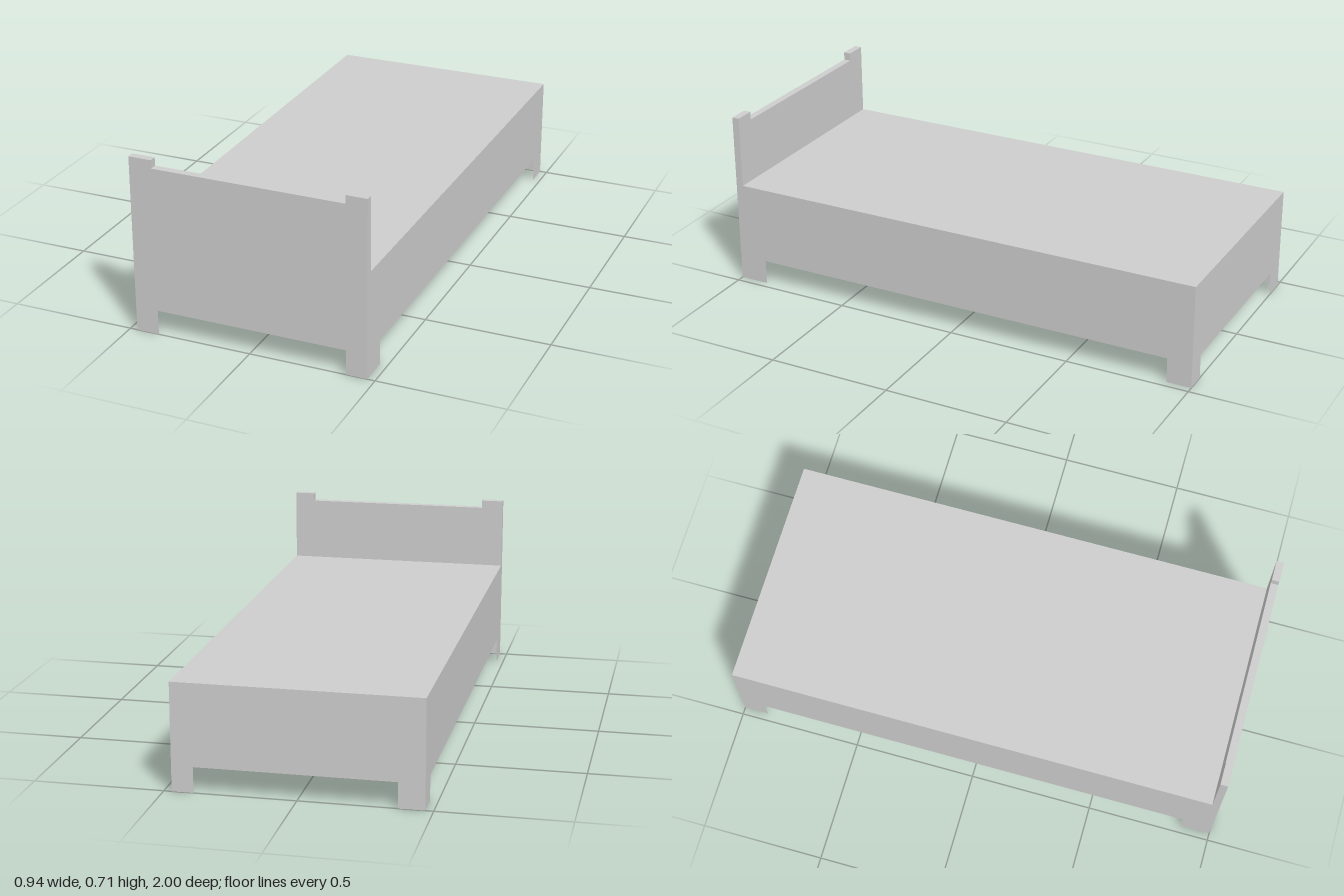
import * as THREE from 'three';

const W = 0.47, L = 1, BASE = 0.255, TOP = 0.42, RAIL = 0.1, BOARD = 0.03;

// Closed outline from x,y pairs
const outline = (pts) => new THREE.Shape(pts.map(([x, y]) => new THREE.Vector2(x, y)));

// Thin panel with a leg at each end and an opening between a and b
const panel = (half, a, b) => new THREE.ShapeGeometry(outline([
  [-half, 0], [a, 0], [a, RAIL], [b, RAIL], [b, 0], [half, 0], [half, BASE], [-half, BASE],
]));

export function createModel() {
  const grey = new THREE.MeshStandardMaterial({ color: 0xcccccc, side: THREE.DoubleSide });
  grey.name = 'light grey';
  const black = new THREE.MeshStandardMaterial({ color: 0x050505, side: THREE.DoubleSide });
  black.name = 'black';

  const bed = new THREE.Group();
  bed.name = 'bed';
  const add = (name, geometry, material, x = 0, y = 0, z = 0) => {
    const mesh = new THREE.Mesh(geometry, material);
    mesh.name = name;
    mesh.position.set(x, y, z);
    bed.add(mesh);
    return mesh;
  };

  // Mattress, resting on the frame behind the headboard
  const length = 2 * L - BOARD;
  add('mattress', new THREE.BoxGeometry(2 * W, TOP - BASE, length), grey, 0, (TOP + BASE) / 2, -BOARD / 2);

  // Dark base under the mattress
  add('bedBase', new THREE.PlaneGeometry(2 * W, length).rotateX(Math.PI / 2), black, 0, BASE - 0.002, -BOARD / 2);

  // Headboard with raised corner posts
  const board = outline([
    [-W, BASE], [W, BASE], [W, 0.713], [0.387, 0.713], [0.387, 0.68],
    [-0.378, 0.68], [-0.378, 0.713], [-W, 0.713],
  ]);
  add('headboard', new THREE.ExtrudeGeometry(board, { depth: BOARD, bevelEnabled: false }), grey, 0, 0, L - BOARD);

  // Frame of thin panels whose corners form the legs
  add('frontPanel', panel(W, -0.378, 0.387), grey, 0, 0, L);
  add('backPanel', panel(W, -0.37, 0.387), grey, 0, 0, -L);
  for (const [name, x] of [['leftRail', W], ['rightRail', -W]]) {
    add(name, panel(L, -0.88, 0.9), grey, x).rotation.y = Math.PI / 2;
  }
  return bed;
}
